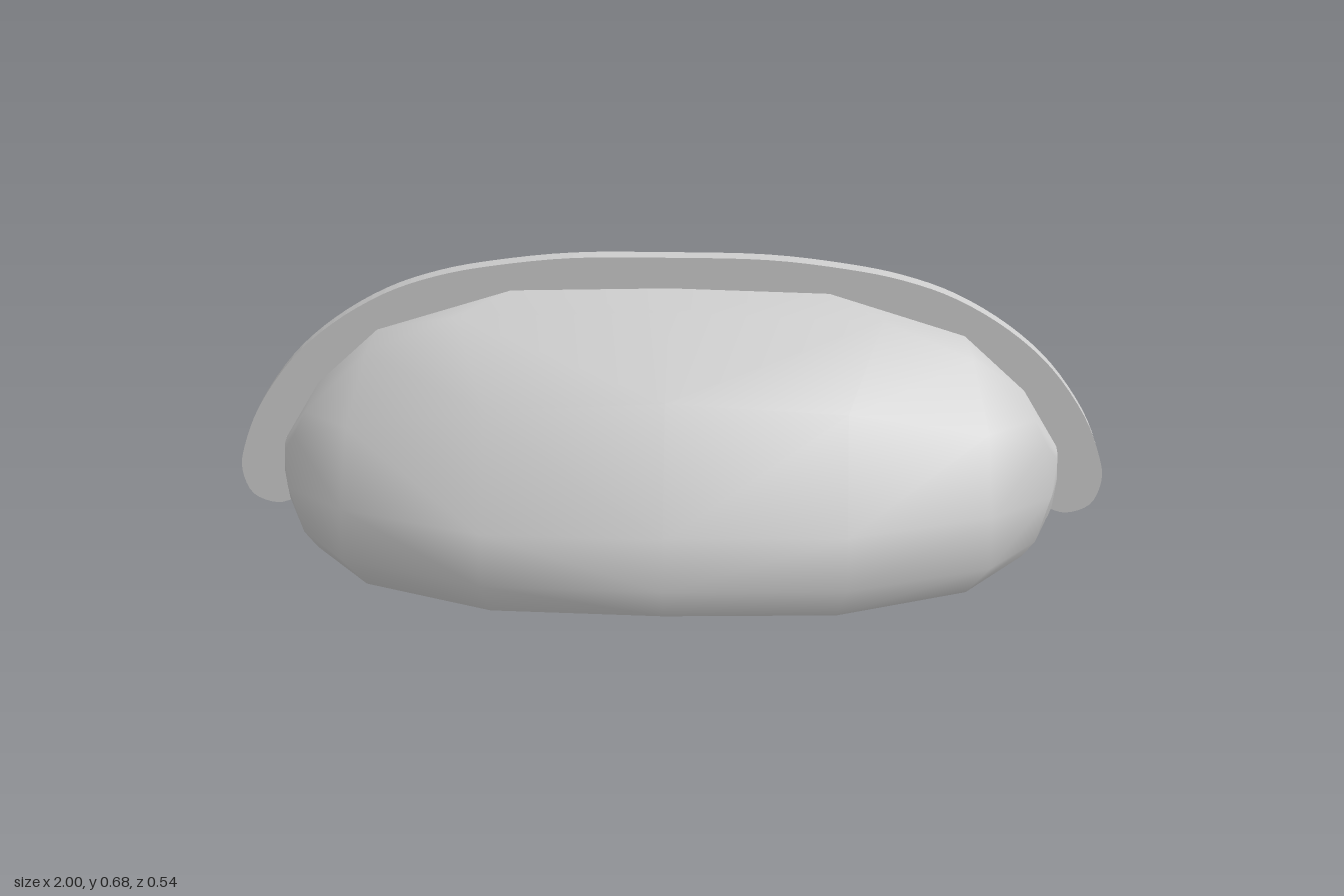
import * as THREE from 'three';

const BACK = -0.226; // just inside the flange's front face

// Half of the hood: columns from the centre outwards, each from bottom rim to top edge
const COLUMNS = [
  [[0, 0, 0.228], [0, 0.075, 0.268], [0, 0.19, 0.245], [0, 0.45, 0.105], [0, 0.58, -0.133], [0, 0.607, BACK]],
  [[0.38, 0.001, 0.212], [0.4, 0.075, 0.25], [0.4, 0.19, 0.232], [0.4, 0.425, 0.095], [0.48, 0.564, -0.133], [0.36, 0.598, BACK]],
  [[0.67, 0.004, 0.085], [0.72, 0.075, 0.115], [0.72, 0.19, 0.1], [0.715, 0.35, 0.01], [0.685, 0.475, -0.14], [0.67, 0.5, BACK]],
  [[0.81, 0.008, -0.11], [0.84, 0.045, -0.11], [0.872, 0.155, -0.11], [0.855, 0.28, -0.12], [0.83, 0.33, -0.14], [0.81, 0.37, BACK]],
  [[0.875, 0.073, -0.194], [0.882, 0.1, -0.185], [0.89, 0.17, -0.18], [0.89, 0.215, -0.19], [0.89, 0.23, -0.2], [0.89, 0.235, BACK]],
  [[0.878, 0.092, -0.2], [0.884, 0.108, -0.2], [0.89, 0.17, -0.2], [0.89, 0.215, -0.205], [0.89, 0.23, -0.215], [0.89, 0.236, BACK]],
  [[0.878, 0.094, BACK], [0.884, 0.11, BACK], [0.89, 0.17, BACK], [0.89, 0.215, BACK], [0.89, 0.23, BACK], [0.89, 0.237, BACK]],
];

// Thin curved hood, mirrored about the centre
function hoodGeometry() {
  const mirrored = COLUMNS.slice(1).reverse().map(col => col.map(([x, y, z]) => [-x, y, z]));
  const columns = [...mirrored, ...COLUMNS];
  const rows = COLUMNS[0].length;
  const index = [];
  for (let c = 0; c < columns.length - 1; c++) {
    for (let r = 0; r < rows - 1; r++) {
      const a = c * rows + r, b = a + rows;
      // diagonals mirror about the centre
      if (c < mirrored.length) index.push(a, b, a + 1, b, b + 1, a + 1);
      else index.push(a, b, b + 1, a, b + 1, a + 1);
    }
  }
  const geometry = new THREE.BufferGeometry();
  geometry.setAttribute('position', new THREE.Float32BufferAttribute(columns.flat(2), 3));
  geometry.setIndex(index);
  geometry.computeVertexNormals();
  return geometry;
}

// Flat arch with rounded tips and a faceted opening
function flangeGeometry() {
  const half = [
    [0.22, 0.676], [0.4, 0.656], [0.53, 0.63], [0.65, 0.587], [0.77, 0.515], [0.87, 0.425],
    [0.95, 0.31], [0.99, 0.21], [0.998, 0.15], [0.975, 0.092], [0.92, 0.07], [0.875, 0.083],
  ];
  const arch = [...half.map(([x, y]) => [-x, y]).reverse(), [0, 0.679], ...half];
  const curve = new THREE.SplineCurve(arch.map(([x, y]) => new THREE.Vector2(x, y)));
  const opening = [[0.845, 0.09], [0.675, 0.358], [0.39, 0.493], [-0.39, 0.493], [-0.675, 0.358], [-0.845, 0.09]];
  const outline = [...curve.getPoints(96), ...opening.map(([x, y]) => new THREE.Vector2(x, y))];
  const geometry = new THREE.ExtrudeGeometry(new THREE.Shape(outline), { depth: 0.043, bevelEnabled: false });
  return geometry.translate(0, 0, -0.268);
}

export function createModel() {
  const grey = new THREE.MeshStandardMaterial({ color: 0xcccccc, side: THREE.DoubleSide });
  grey.name = 'light grey';

  const group = new THREE.Group();
  group.name = 'scoop';
  const add = (name, geometry) => {
    const mesh = new THREE.Mesh(geometry, grey);
    mesh.name = name;
    group.add(mesh);
  };
  add('hood', hoodGeometry());
  add('mountingFlange', flangeGeometry());
  return group;
}
